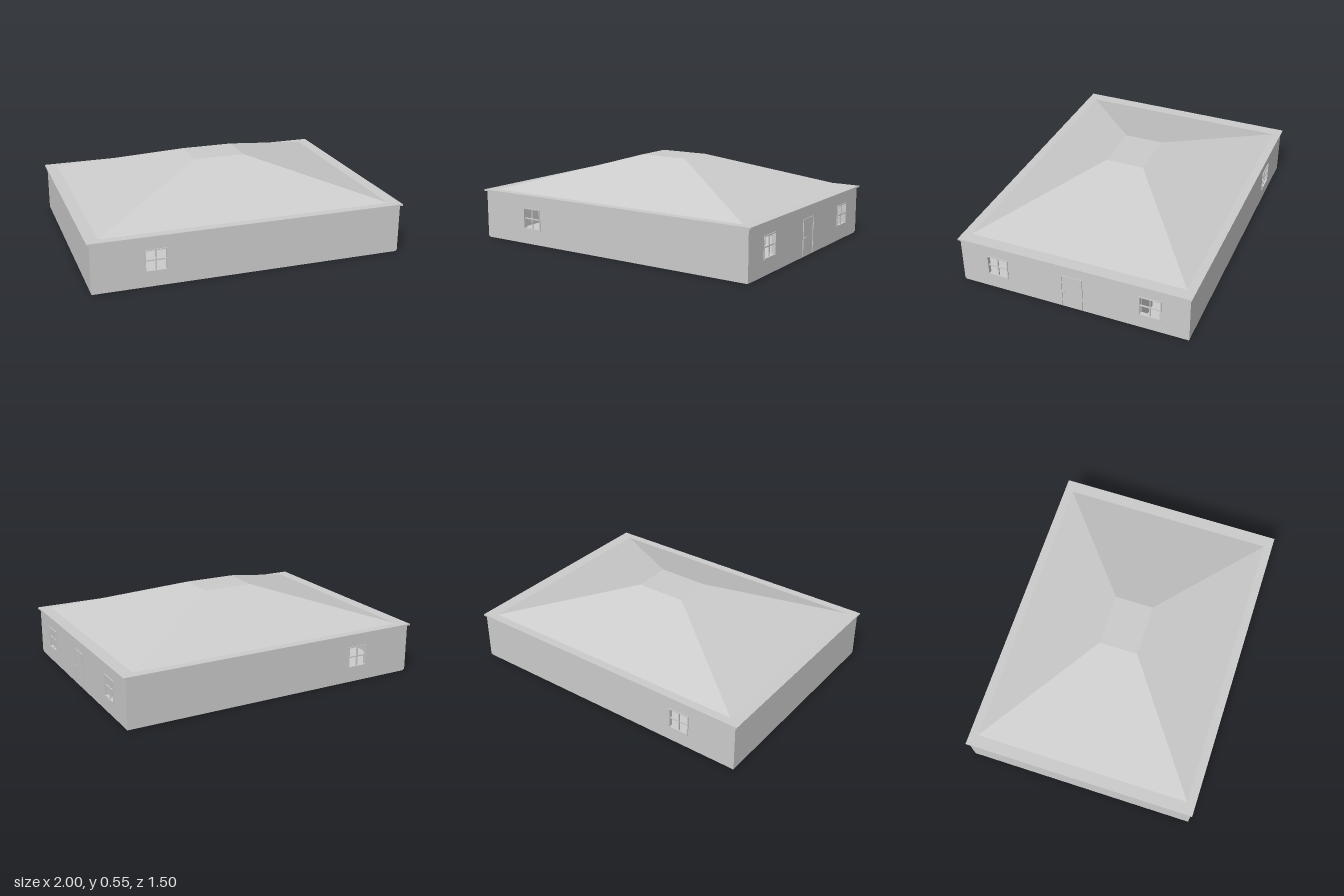
import * as THREE from 'three';

const material = new THREE.MeshStandardMaterial({ color: 0xcccccc, flatShading: true });
const HX = 0.985, HZ = 0.74;          // outer faces of the walls
const FLOOR = 0.01, TOP = 0.312;      // wall bottom and top
const T = 0.018;                      // wall thickness
const WIN = { y: 0.168, half: 0.07 }; // window centre height and half size
const DOOR = { half: 0.069, top: 0.24 };

function add(parent, name, geometry, x = 0, y = 0, z = 0) {
  const mesh = new THREE.Mesh(geometry, material);
  mesh.name = name;
  mesh.position.set(x, y, z);
  parent.add(mesh);
  return mesh;
}

function box(parent, name, w, h, d, x, y, z) {
  return add(parent, name, new THREE.BoxGeometry(w, h, d), x, y, z);
}

function rectHole(x0, y0, x1, y1) {
  const path = new THREE.Path();
  path.moveTo(x0, y0).lineTo(x0, y1).lineTo(x1, y1).lineTo(x1, y0).closePath();
  return path;
}

// Four-pane window frame, its outside facing local +z
function addWindow(parent, x) {
  const frame = new THREE.Group();
  frame.name = 'window';
  frame.position.set(x, WIN.y, 0);
  const r = WIN.half, bar = 0.007, depth = T + 0.008, z = -T / 2 + 0.001;
  for (const s of [-1, 1]) {
    box(frame, 'windowJamb', bar, 2 * r, depth, s * (r - bar / 2), 0, z);
    box(frame, 'windowRail', 2 * (r - bar), bar, depth, 0, s * (r - bar / 2), z);
  }
  box(frame, 'windowMullion', 0.008, 2 * (r - bar), 0.008, 0, 0, -0.005);
  box(frame, 'windowTransom', 2 * (r - bar), 0.008, 0.007, 0, 0, -0.005);
  parent.add(frame);
}

// Door leaf with thin frame, lever handle and hinges
function addDoor(parent) {
  const door = new THREE.Group();
  door.name = 'door';
  const { half, top } = DOOR, h = top - FLOOR, bar = 0.005;
  box(door, 'doorLeaf', 2 * (half - bar) - 0.001, h - bar, T, 0, FLOOR + (h - bar) / 2, -T / 2 + 0.001);
  for (const s of [-1, 1]) {
    box(door, 'doorJamb', bar, h, T + 0.006, s * (half - bar / 2), FLOOR + h / 2, -T / 2 + 0.002);
  }
  box(door, 'doorHead', 2 * (half - bar), bar, T + 0.006, 0, top - bar / 2, -T / 2 + 0.002);
  box(door, 'handleStem', 0.005, 0.005, 0.012, -0.06, 0.127, 0.006);
  box(door, 'handleLever', 0.025, 0.005, 0.003, -0.054, 0.127, 0.0125);
  for (const y of [0.06, 0.19]) box(door, 'hinge', 0.004, 0.016, 0.006, half - 0.002, y, 0.004);
  parent.add(door);
}

// Outer wall with openings, its outside on local z = 0
function addWall(parent, name, half, windows, hasDoor) {
  const wall = new THREE.Group();
  wall.name = name;
  const shape = new THREE.Shape();
  shape.moveTo(-half, FLOOR);
  if (hasDoor) {
    shape.lineTo(-DOOR.half, FLOOR).lineTo(-DOOR.half, DOOR.top);
    shape.lineTo(DOOR.half, DOOR.top).lineTo(DOOR.half, FLOOR);
  }
  shape.lineTo(half, FLOOR).lineTo(half, TOP).lineTo(-half, TOP).closePath();
  const r = WIN.half;
  for (const x of windows) shape.holes.push(rectHole(x - r, WIN.y - r, x + r, WIN.y + r));
  add(wall, name + 'Panel', new THREE.ExtrudeGeometry(shape, { depth: T, bevelEnabled: false }), 0, 0, -T);
  windows.forEach((x) => addWindow(wall, x));
  if (hasDoor) addDoor(wall);
  parent.add(wall);
  return wall;
}

export function createModel() {
  const house = new THREE.Group();
  house.name = 'house';

  // Floor slab
  box(house, 'floor', 2 * HX - 0.008, 0.009, 2 * HZ - 0.008, 0, 0.0055, 0);

  // Outer walls
  addWall(house, 'frontWall', HX, [-0.595], false).position.z = HZ;
  const back = addWall(house, 'backWall', HX, [0.595], false);
  back.position.z = -HZ;
  back.rotation.y = Math.PI;
  const left = addWall(house, 'leftWall', HZ - T, [-0.495, 0.495], true);
  left.position.x = HX;
  left.rotation.y = Math.PI / 2;
  const right = addWall(house, 'rightWall', HZ - T, [], false);
  right.position.x = -HX;
  right.rotation.y = -Math.PI / 2;

  // Partitions as [x0, z0, x1, z1], with doorways left between them
  const inX = HX - T, inZ = HZ - T;
  const partitions = [
    [-0.2, -inZ, -0.2, -0.2],
    [-0.2, 0.21, -0.2, inZ],
    [-0.75, -0.2, -0.2, -0.2],
    [-inX, -0.2, -0.88, -0.2],
    [-0.75, 0.21, -0.2, 0.21],
    [-inX, 0.21, -0.88, 0.21],
    [-0.19, -0.43, 0.59, -0.43],
    [-0.19, -0.28, 0.59, -0.28],
    [0.59, -0.43, 0.59, -0.28],
    [0.79, -0.43, inX, -0.43],
    [0.79, -0.28, inX, -0.28],
    [0.79, -0.43, 0.79, -0.28],
  ];
  for (const [x0, z0, x1, z1] of partitions) {
    const w = Math.max(x1 - x0, 0.014), d = Math.max(z1 - z0, 0.014);
    box(house, 'partition', w, TOP, d, (x0 + x1) / 2, TOP / 2, (z0 + z1) / 2);
  }

  // Eave slab and truncated hip roof
  box(house, 'eaves', 2, 0.01, 1.5, 0, TOP + 0.005, 0);
  const roof = new THREE.CylinderGeometry(0.18 * Math.SQRT2, Math.SQRT2, 0.225, 4);
  roof.rotateY(Math.PI / 4);
  roof.scale(0.922, 1, 0.695);
  add(house, 'roof', roof, 0, 0.322 + 0.1125, 0);

  return house;
}
